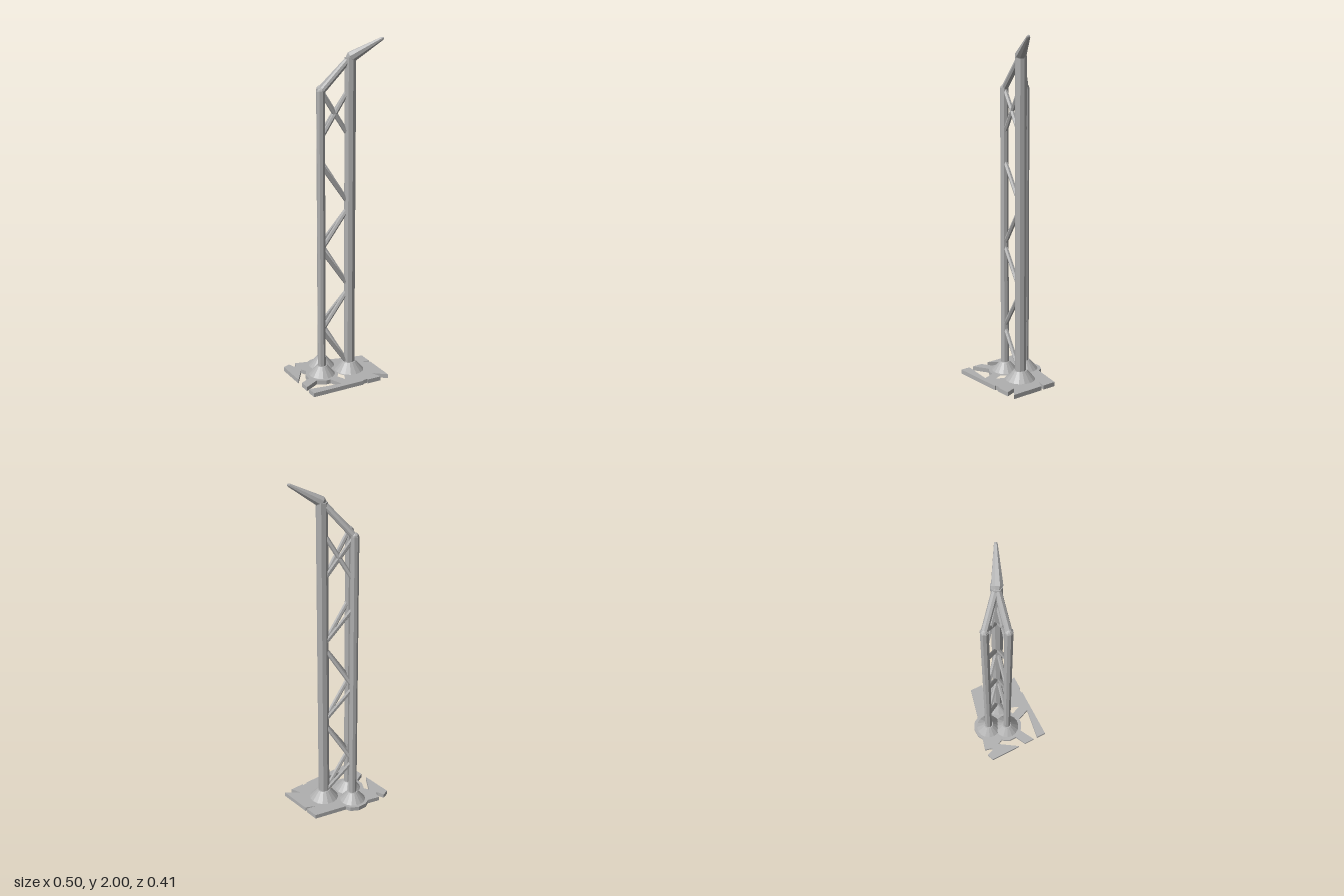
import * as THREE from 'three';

export function createModel() {
  const model = new THREE.Group();
  const steel = new THREE.MeshStandardMaterial({ color: 0xb0b0b0, flatShading: true });
  steel.name = 'grey steel';
  const V = (x, y, z) => new THREE.Vector3(x, y, z);

  const add = (name, geometry) => {
    const mesh = new THREE.Mesh(geometry, steel);
    mesh.name = name;
    model.add(mesh);
    return mesh;
  };
  // Aims a y-axis geometry from point a towards point b
  const aim = (mesh, a, b) => {
    mesh.position.copy(a);
    mesh.quaternion.setFromUnitVectors(V(0, 1, 0), b.clone().sub(a).normalize());
    return mesh;
  };
  const rod = (name, a, b, r, sides = 8) => {
    const length = a.distanceTo(b);
    return aim(add(name, new THREE.CylinderGeometry(r, r, length, sides).translate(0, length / 2, 0)), a, b);
  };

  // Broken ground slab, outlined as x, z pairs
  const outline = [
    [-0.253, -0.19], [-0.21, -0.207], [-0.196, -0.166], [-0.187, -0.16], [-0.18, -0.17], [-0.17, -0.207],
    [-0.095, -0.187], [-0.063, -0.206], [-0.008, -0.206], [0.037, -0.18], [0.05, -0.15], [0.247, -0.103],
    [0.247, -0.018], [0.187, -0.032], [0.247, -0.002], [0.247, 0.202], [0.172, 0.14], [0.195, 0.203],
    [0.105, 0.203], [0.11, 0.193], [0.076, 0.196], [0.076, 0.203], [-0.253, 0.203], [-0.253, 0.143],
    [-0.054, 0.173], [-0.085, 0.095], [-0.115, 0.095], [-0.162, 0.066], [-0.253, 0.116], [-0.253, 0.052],
    [-0.188, 0.018], [-0.188, -0.027], [-0.16, -0.077], [-0.176, -0.11], [-0.253, 0.007],
  ];
  const gap = [[-0.008, 0.048], [0.012, 0.084], [-0.008, 0.132], [-0.031, 0.075], [-0.019, 0.068]];
  const toPoints = (pairs) => pairs.map(([x, z]) => new THREE.Vector2(x, -z));
  const slab = new THREE.Shape(toPoints(outline));
  slab.holes.push(new THREE.Path(toPoints(gap)));
  const slabTop = 0.025;
  add('groundSlab', new THREE.ExtrudeGeometry(slab, { depth: slabTop, bevelEnabled: false }).rotateX(-Math.PI / 2));

  // Three masts with conical feet: two rear ones and a taller front one
  const masts = [
    { name: 'sideMast', x: -0.091, z: -0.003, r: 0.024, top: 1.71, foot: 0.078 },
    { name: 'backMast', x: -0.036, z: -0.112, r: 0.024, top: 1.71, foot: 0.078 },
    { name: 'mainMast', x: 0.083, z: 0.019, r: 0.033, top: 1.89, foot: 0.087 },
  ];
  for (const m of masts) {
    rod(m.name, V(m.x, 0.01, m.z), V(m.x, m.top, m.z), m.r);
    add(m.name + 'Foot', new THREE.CylinderGeometry(m.r + 0.006, m.foot, 0.055, 16))
      .position.set(m.x, slabTop + 0.0275, m.z);
  }

  // Zigzag lattice, crossed top bay and sloping top strut to each rear mast
  const main = masts[2];
  for (const rear of masts.slice(0, 2)) {
    const at = (m, y) => V(m.x, y, m.z);
    for (let i = 0; i < 5; i++) {
      const low = 0.05 + i * 0.25;
      const [a, b] = i % 2 ? [rear, main] : [main, rear];
      rod('latticeBrace', at(a, low), at(b, low + 0.25), 0.013, 6);
    }
    rod('crossBrace', at(main, 1.44), at(rear, 1.71), 0.013, 6);
    rod('crossBrace', at(rear, 1.45), at(main, 1.73), 0.013, 6);
    rod('topStrut', at(rear, 1.705), at(main, 1.89), 0.019);
    add('strutJoint', new THREE.SphereGeometry(0.024, 8, 6)).position.copy(at(rear, 1.706));
  }

  // Tapered spike leaning out from the main mast
  const root = V(0.083, 1.89, 0.022);
  const tip = V(0.246, 1.995, 0.099);
  const length = root.distanceTo(tip);
  const profile = [[0, -0.024], [0.018, -0.02], [0.032, 0], [0.028, 0.04], [0.01, length - 0.01], [0.006, length], [0, length]];
  aim(add('spike', new THREE.LatheGeometry(profile.map(([r, y]) => new THREE.Vector2(r, y)), 8)), root, tip);

  return model;
}
